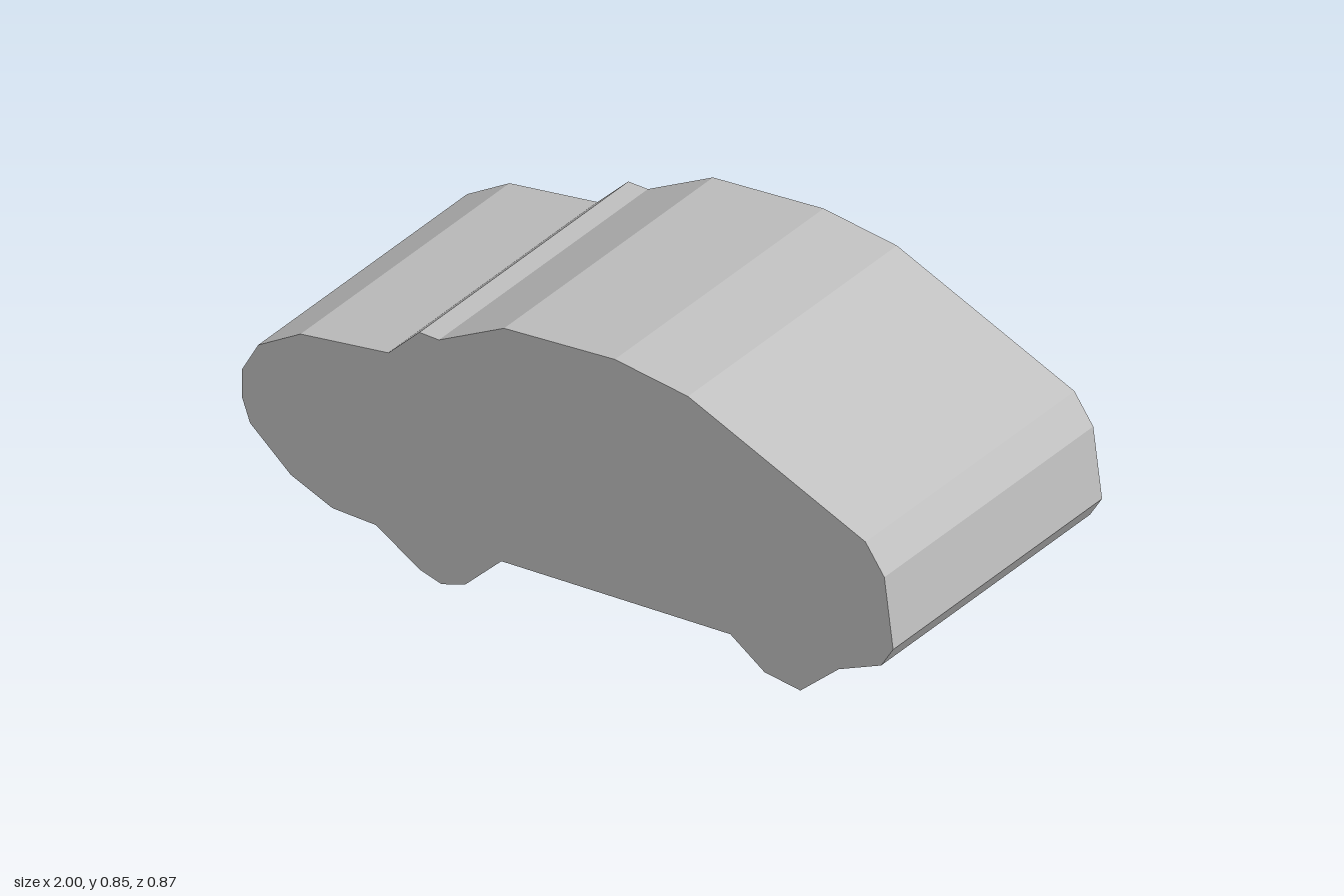
import * as THREE from 'three';

const WIDTH = 0.874;

// Side outline of the car body, clockwise from the low nose
const OUTLINE = [
  [-1, 0.32], [-1, 0.4], [-0.95, 0.49], [-0.82, 0.57], [-0.55, 0.615], // nose and bonnet
  [-0.455, 0.71], [-0.395, 0.71], [-0.195, 0.818], [0.145, 0.853], [0.37, 0.828], // windscreen and roof
  [0.915, 0.605], [0.973, 0.523], [1, 0.322], [0.963, 0.262], [0.833, 0.203], // sloping tail
  [0.715, 0.097], [0.605, 0.11], [0.5, 0.182], // rear wheel bulge
  [-0.203, 0.135], [-0.315, 0.025], [-0.387, 0], [-0.455, 0.018], // underside and front wheel bulge
  [-0.588, 0.098], [-0.722, 0.098], [-0.85, 0.148], [-0.975, 0.253], // lower nose
];

export function createModel() {
  const grey = new THREE.MeshStandardMaterial({ color: 0xc0c0c0 });
  grey.name = 'grey';

  // Whole body: the outline extruded across the car's width
  const shape = new THREE.Shape(OUTLINE.map(([x, y]) => new THREE.Vector2(x, y)));
  const geometry = new THREE.ExtrudeGeometry(shape, { depth: WIDTH, bevelEnabled: false });
  geometry.translate(0, 0, -WIDTH / 2);

  const body = new THREE.Mesh(geometry, grey);
  body.name = 'carBody';

  const model = new THREE.Group();
  model.name = 'carSilhouetteBlock';
  model.add(body);
  return model;
}
